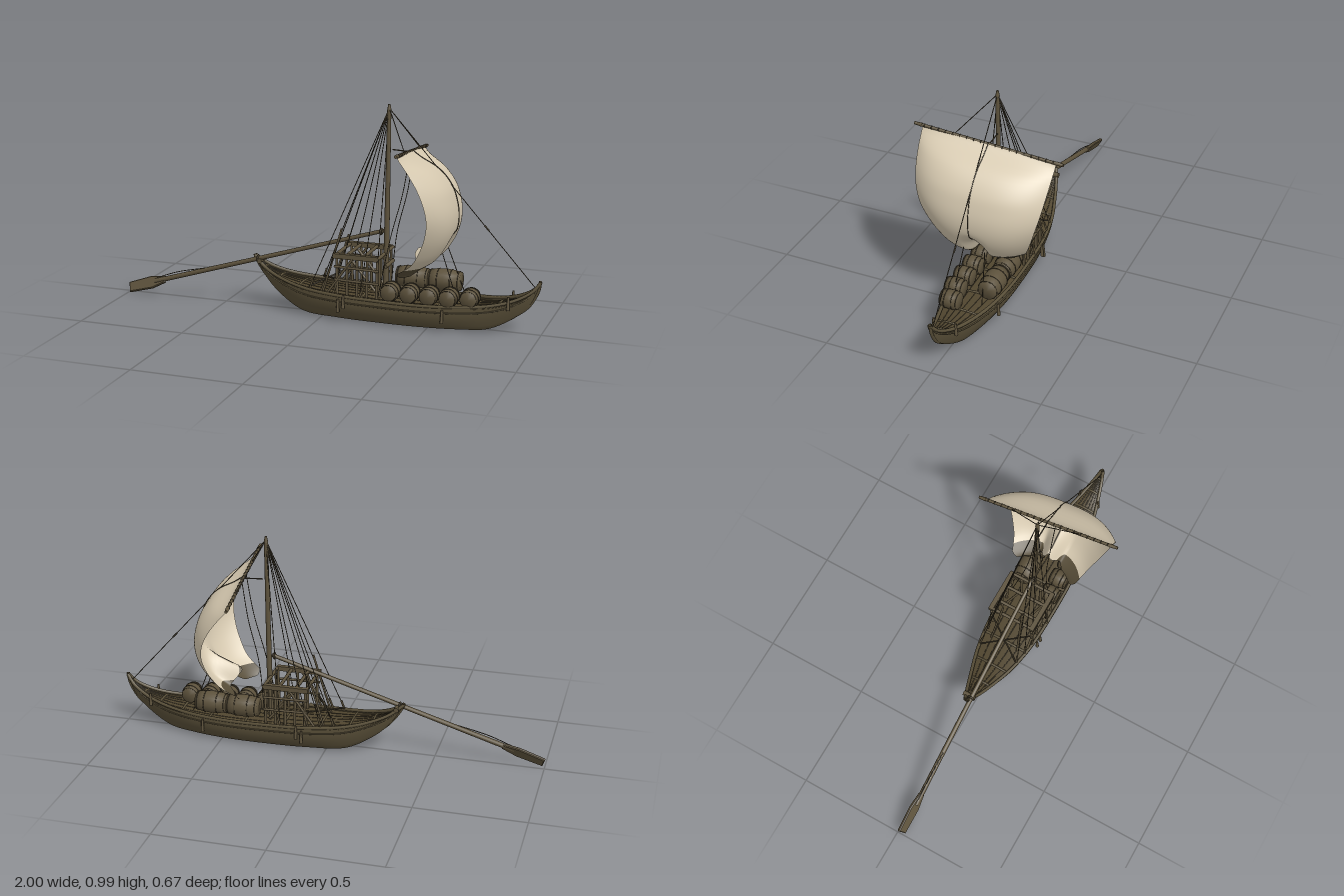
import * as THREE from 'three';

const V = (x, y, z) => new THREE.Vector3(x, y, z);
const lerp = THREE.MathUtils.lerp;

function mat(name, color, double) {
  const m = new THREE.MeshStandardMaterial({ color });
  m.name = name;
  if (double) m.side = THREE.DoubleSide;
  return m;
}

// Surface from a rule f(u, v), with u and v running 0..1
function surface(nu, nv, f) {
  const pos = [], idx = [];
  for (let i = 0; i <= nu; i++) for (let j = 0; j <= nv; j++) pos.push(...f(i / nu, j / nv).toArray());
  for (let i = 0; i < nu; i++) for (let j = 0; j < nv; j++) {
    const a = i * (nv + 1) + j, b = a + nv + 1;
    idx.push(a, b, a + 1, b, b + 1, a + 1);
  }
  const g = new THREE.BufferGeometry();
  g.setAttribute('position', new THREE.Float32BufferAttribute(pos, 3));
  g.setIndex(idx);
  g.computeVertexNormals();
  return g;
}

// Smooth curve through evenly spaced values, read at t in 0..1
function profile(values) {
  const curve = new THREE.SplineCurve(values.map((v, i) => new THREE.Vector2(i, v)));
  return (t) => curve.getPoint(THREE.MathUtils.clamp(t, 0, 1)).y;
}

export function createModel() {
  const root = new THREE.Group();
  root.name = 'sailingBoat';
  const hullWood = mat('hullWood', 0x5a5039, true);
  const deckWood = mat('deckWood', 0x51462f, true);
  const spar = mat('sparWood', 0x5d523c);
  const ropeMat = mat('rope', 0x443c2c);
  const cloth = mat('sailCloth', 0xd6c9b0, true);
  const hem = mat('darkHem', 0x574d38, true);

  const add = (name, geo, material, parent = root) => {
    const m = new THREE.Mesh(geo, material);
    m.name = name;
    parent.add(m);
    return m;
  };
  const group = (name) => {
    const g = new THREE.Group();
    g.name = name;
    root.add(g);
    return g;
  };
  // Round bar between two points
  const rod = (name, a, b, r0, r1, material, parent = root, sides = 10) => {
    const m = add(name, new THREE.CylinderGeometry(r1, r0, a.distanceTo(b), sides), material, parent);
    m.position.copy(a).lerp(b, 0.5);
    m.quaternion.setFromUnitVectors(V(0, 1, 0), b.clone().sub(a).normalize());
    return m;
  };
  const tube = (name, pts, r, material, parent = root, n = 40) =>
    add(name, new THREE.TubeGeometry(new THREE.CatmullRomCurve3(pts), n, r, 6), material, parent);

  // Hull: z of each point is the half width there
  const sheer = new THREE.CatmullRomCurve3([
    V(-0.35, 0.245, 0.006), V(-0.29, 0.2, 0.03), V(-0.2, 0.165, 0.06), V(-0.08, 0.142, 0.095),
    V(0.08, 0.13, 0.12), V(0.28, 0.124, 0.126), V(0.48, 0.122, 0.122), V(0.65, 0.126, 0.1),
    V(0.79, 0.138, 0.066), V(0.89, 0.165, 0.038), V(0.96, 0.205, 0.016), V(0.99, 0.243, 0.004)]);
  const keel = new THREE.CatmullRomCurve3([
    V(-0.34, 0.222, 0.004), V(-0.28, 0.135, 0.014), V(-0.2, 0.07, 0.032), V(-0.09, 0.02, 0.058),
    V(0.08, 0.014, 0.084), V(0.28, 0.013, 0.094), V(0.48, 0.013, 0.09), V(0.65, 0.014, 0.066),
    V(0.77, 0.02, 0.036), V(0.88, 0.075, 0.014), V(0.95, 0.14, 0.006), V(0.985, 0.215, 0.003)]);
  const hull = group('hull');
  const side = (u, v, s) => {
    const a = sheer.getPoint(u), p = a.clone().lerp(keel.getPoint(u), v);
    p.z = s * (p.z + a.z * 0.1 * Math.sin(Math.PI * v));
    return p;
  };
  // One skin from gunwale to gunwale, rounded into the flat bottom
  add('hullSkin', surface(56, 20, (u, v) => {
    const k = Math.abs(2 * v - 1), s = v < 0.5 ? -1 : 1;
    if (k >= 0.4) return side(u, (1 - k) / 0.6, s);
    const p = keel.getPoint(u);
    p.z *= s * k / 0.4;
    return p;
  }), hullWood, hull);
  for (const s of [1, -1]) for (const [v, r] of [[0, 0.008], [0.26, 0.004]]) {
    const pts = Array.from({ length: 30 }, (_, i) => side(i / 29, v, s));
    tube(v ? 'rubRail' : 'gunwale', pts, r, hullWood, hull, 60);
  }
  const deckPoint = (u, k) => {
    const p = sheer.getPoint(u);
    return V(p.x, p.y - 0.012 + 0.008 * (1 - k * k), p.z * k);
  };
  add('deck', surface(48, 8, (u, v) => deckPoint(u, 2 * v - 1)), deckWood, hull);
  // Plank seams and cross beams on the deck
  for (const k of [-0.6, -0.3, 0, 0.3, 0.6])
    tube('plankSeam', Array.from({ length: 20 }, (_, i) => deckPoint(0.04 + i * 0.048, k)), 0.002, ropeMat, hull);
  for (let i = 1; i < 12; i++)
    tube('crossBeam', [-0.98, 0, 0.98].map((k) => deckPoint(i / 12, k)), 0.006, hullWood, hull, 6);
  // Stem and stern posts
  tube('bowPost', [V(0.86, 0.066, 0), V(0.94, 0.13, 0), V(0.98, 0.2, 0), V(0.99, 0.25, 0)], 0.008, hullWood, hull);
  tube('sternPost', [V(-0.21, 0.08, 0), V(-0.285, 0.145, 0), V(-0.34, 0.222, 0), V(-0.352, 0.25, 0)], 0.008, hullWood, hull);
  rod('oarRest', V(-0.32, 0.225, -0.03), V(-0.32, 0.225, 0.03), 0.012, 0.012, spar, hull);

  // Fenders hanging over the sides
  for (const [x, z, low] of [[0.1, 0.132, 0.055], [0.125, 0.134, 0.075], [0.58, 0.122, 0.05], [0.86, 0.054, 0.12]])
    for (const s of [1, -1])
      rod('fender', V(x, low, s * z), V(x, low + 0.06, s * (z - 0.003)), 0.008, 0.005, spar);

  // Mast and yard
  rod('mast', V(0.285, 0.1, 0.004), V(0.294, 0.97, 0.004), 0.014, 0.009, spar);
  rod('mastHead', V(0.294, 0.965, 0.004), V(0.294, 0.992, 0.004), 0.01, 0.005, spar);
  const yardAt = (z) => V(0.4 + 0.076 * z, 0.79 + 0.12 * z, z);
  rod('yard', yardAt(-0.33), yardAt(0.335), 0.007, 0.007, spar);
  for (const s of [1, -1]) rod('yardEnd', yardAt(s * 0.3), yardAt(s * 0.333), 0.009, 0.006, spar);

  // Sail: bulges forward, narrows downwards, with its foot gathered up and back in the middle
  const mid = profile([0.405, 0.52, 0.58, 0.606, 0.616, 0.608, 0.58, 0.53, 0.44]);
  const edge = profile([0.395, 0.445, 0.49, 0.52, 0.532, 0.522, 0.495, 0.45, 0.36]);
  const half = profile([0.3, 0.298, 0.293, 0.284, 0.268, 0.248, 0.223, 0.193, 0.16]);
  const foot = (s) => 0.243 + 0.11 * Math.max(0, 1 - s / 0.6) ** 2 + 0.03 * (Math.max(0, s - 0.8) / 0.2) ** 2;
  const sailPoint = (u, y) => {
    const s = Math.abs(u), yard = yardAt(u * 0.3), t = (yard.y - y) / (yard.y - 0.245);
    const gather = 0.11 * Math.max(0, 1 - s / 0.35) ** 2 * Math.max(0, (0.46 - y) / 0.1) ** 2;
    const x = lerp(mid(t), edge(t), s ** 3) - gather;
    return V(x + (yard.x - 0.4) * (1 - t), y, u * half(t));
  };
  const sail = group('sail');
  const hemY = (u) => Math.max(0.29, foot(Math.abs(u)));
  add('sailCloth', surface(48, 36, (u, v) => {
    const k = 2 * u - 1;
    return sailPoint(k, lerp(yardAt(k * 0.3).y + 0.004, hemY(k), v));
  }), cloth, sail);
  add('sailHem', surface(48, 5, (u, v) => {
    const k = 2 * u - 1;
    return sailPoint(k, lerp(hemY(k), foot(Math.abs(k)), v));
  }), hem, sail);
  const front = Array.from({ length: 16 }, (_, i) => sailPoint(0, lerp(0.79, 0.36, i / 15)).add(V(0.003, 0, 0)));
  tube('sailCentreRope', front, 0.002, ropeMat, sail);
  for (let i = -9; i <= 9; i++) {
    const tie = add('sailTie', new THREE.TorusGeometry(0.007, 0.002, 5, 10), ropeMat, sail);
    tie.position.copy(yardAt(i * 0.032));
  }

  // Rigging
  const rigging = group('rigging');
  const top = V(0.294, 0.975, 0.004);
  const line = (a, b, r = 0.002) => rod('line', a, b, r, r, ropeMat, rigging, 5);
  line(top, V(0.98, 0.205, 0));
  line(V(0.735, 0.48, 0), V(0.755, 0.458, 0), 0.004);
  line(top, yardAt(0.155));
  line(top, yardAt(-0.175));
  for (const s of [1, -1]) {
    for (const [x, z] of [[-0.05, 0.1], [0.01, 0.11], [0.07, 0.118], [0.2, 0.125]]) {
      line(top, V(x, 0.135, s * z));
      rod('deadeye', V(x, 0.13, s * z), V(x + 0.018, 0.185, s * z * 0.94), 0.005, 0.005, spar, rigging, 6);
    }
    // Braces and sheets
    tube('brace', [yardAt(s * 0.04), V(0.37, 0.6, s * 0.04), V(0.32, 0.4, s * 0.05), V(0.28, 0.14, s * 0.1)], 0.0018, ropeMat, rigging);
    line(V(0.56, 0.35, s * 0.05), V(0.64, 0.13, s * 0.07));
    // Ropes lashed across the after deck
    line(V(-0.05, 0.15, s * 0.095), V(0.08, 0.2, -s * 0.1), 0.004);
  }
  line(V(0.31, 0.79, 0), V(0.4, 0.785, 0), 0.003);

  // Steering oar, its blade turned on the shaft
  const oar = group('steeringOar');
  rod('oarShaft', V(-0.86, 0.072, 0.02), V(0.275, 0.418, 0.008), 0.012, 0.009, spar, oar);
  const outline = new THREE.Shape([[0, 0.012], [0.07, 0.026], [0.19, 0.021], [0.19, -0.021], [0.07, -0.026], [0, -0.012]]
    .map(([x, y]) => new THREE.Vector2(-x, y)));
  const bladeGeo = new THREE.ExtrudeGeometry(outline, {
    depth: 0.008, bevelThickness: 0.004, bevelSize: 0.004, bevelSegments: 1 });
  bladeGeo.translate(0, 0, -0.004);
  const blade = add('oarBlade', bladeGeo, spar, oar);
  blade.position.set(-0.81, 0.085, 0.019);
  blade.rotation.set(-0.5, 0, 0.3, 'ZYX');
  tube('oarRope', [V(-0.85, 0.09, 0.02), V(-0.74, 0.13, 0.02), V(-0.6, 0.162, 0.02)], 0.002, ropeMat, oar);
  for (const [x, y] of [[-0.33, 0.235], [0.265, 0.415]]) {
    const lash = add('oarLashing', new THREE.TorusGeometry(0.012, 0.005, 6, 12), ropeMat, oar);
    lash.position.set(x, y, 0.012);
    lash.rotation.y = Math.PI / 2;
  }

  // Barrels with hoops, lying on their sides
  const barrel = (x, y, z, r, len, turn) => {
    const g = group('barrel'), h = len / 2;
    const prof = [[0, -h], [r * 0.82, -h], [r * 0.95, -h / 2], [r, 0], [r * 0.95, h / 2], [r * 0.82, h], [0, h]];
    add('barrelBody', new THREE.LatheGeometry(prof.map(([a, b]) => new THREE.Vector2(a, b)), 18), spar, g);
    for (const k of [-0.88, -0.4, 0.4, 0.88]) {
      const hoop = add('barrelHoop', new THREE.TorusGeometry(r * (1 - 0.18 * k * k), 0.002, 5, 20), ropeMat, g);
      hoop.position.y = k * h;
      hoop.rotation.x = Math.PI / 2;
    }
    g.position.set(x, y, z);
    g.rotation.set(...turn);
  };
  for (let i = 0; i < 5; i++) barrel(0.33 + i * 0.09, 0.16, 0.073 - (i > 3 ? 0.02 : 0), 0.043, 0.085, [Math.PI / 2, 0, 0]);
  for (const x of [0.39, 0.54]) barrel(x, 0.19, -0.082, 0.052, 0.15, [0, 0, Math.PI / 2]);

  // Timber rack behind the mast
  const rack = group('timberRack');
  for (const s of [1, -1]) {
    const z = s * 0.108;
    for (let i = 0; i < 5; i++) rod('rackPost', V(0.09 + i * 0.046, 0.115, z), V(0.085 + i * 0.048, 0.315, z * 0.95), 0.007, 0.006, spar, rack, 7);
    for (const y of [0.2, 0.26]) rod('rackRail', V(0.075, y, z), V(0.285, y - 0.005, z), 0.006, 0.006, spar, rack, 7);
    const board = add('rackBoard', new THREE.BoxGeometry(0.21, 0.022, 0.022), spar, rack);
    board.position.set(0.175, 0.311, z);
    rod('rackBrace', V(0.04, 0.13, z), V(0.16, 0.3, z), 0.006, 0.006, spar, rack, 7);
    rod('innerBrace', V(0.27, 0.13, z * 0.6), V(0.13, 0.3, z * 0.6), 0.006, 0.006, spar, rack, 7);
    rod('leaningPole', V(0.01, 0.13, s * 0.07), V(0.09, s > 0 ? 0.42 : 0.37, s * 0.05), 0.005, 0.005, spar, rack, 7);
  }
  for (const x of [0.08, 0.13, 0.21, 0.28]) rod('rackBeam', V(x, 0.312, -0.118), V(x, 0.312, 0.118), 0.008, 0.008, spar, rack, 7);
  for (const z of [-0.05, 0.05]) rod('innerPost', V(0.27, 0.12, z), V(0.27, 0.31, z), 0.007, 0.007, spar, rack, 7);
  rod('mastBeam', V(0.3, 0.265, -0.06), V(0.3, 0.265, 0.06), 0.009, 0.009, spar, rack, 8);

  return root;
}
